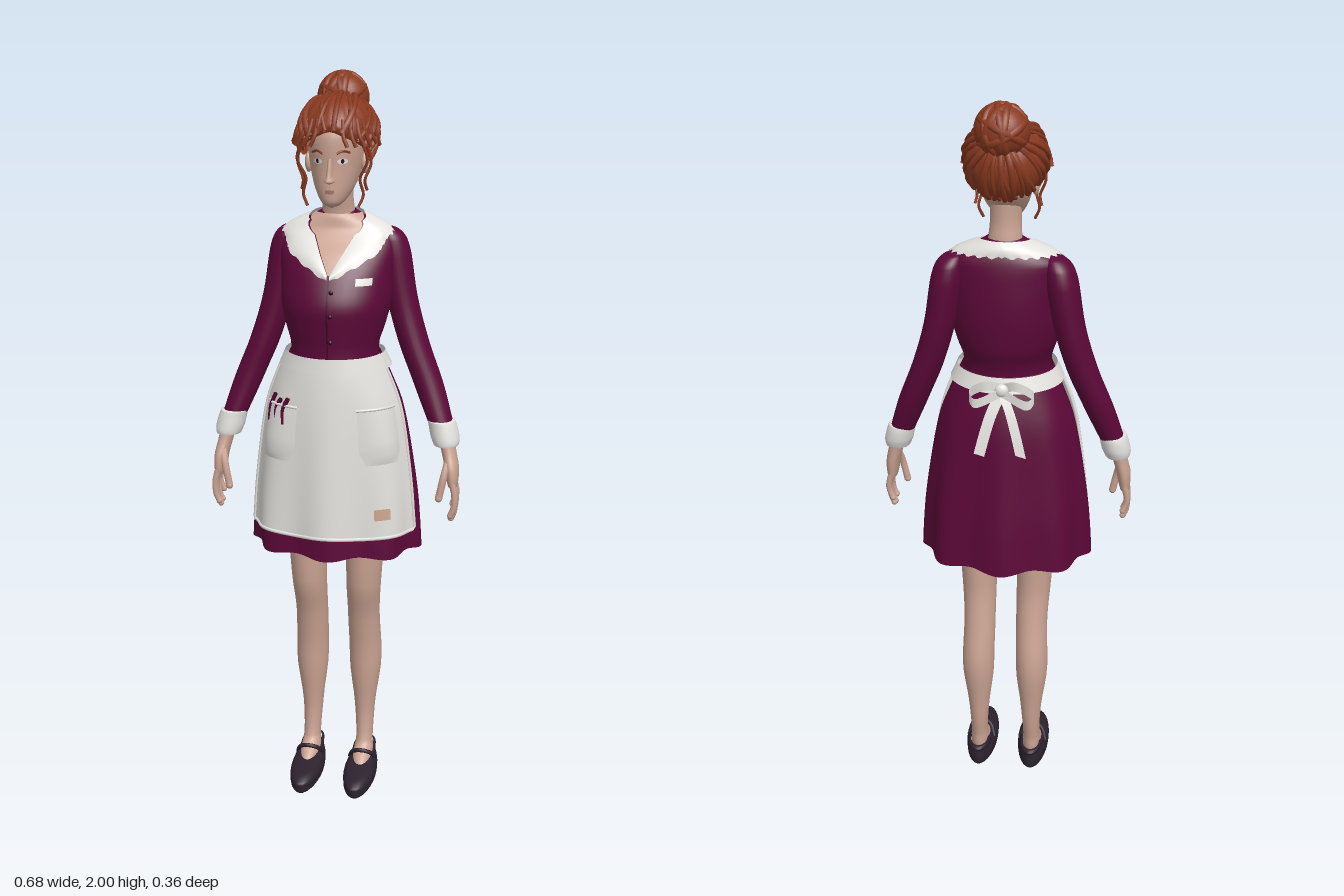
import * as THREE from 'three';

const V = (x, y, z) => new THREE.Vector3(x, y, z);
const mat = (name, color, side = THREE.FrontSide) => {
  const m = new THREE.MeshStandardMaterial({ color, side });
  m.name = name;
  return m;
};

// Smooth surface from a point rule; u runs around, v runs up
function grid(nu, nv, fn, closed = false) {
  const pos = [], idx = [], cols = closed ? nu : nu + 1;
  for (let j = 0; j <= nv; j++)
    for (let i = 0; i < cols; i++) pos.push(...fn(i / nu, j / nv).toArray());
  for (let j = 0; j < nv; j++)
    for (let i = 0; i < nu; i++) {
      const a = j * cols + i, b = j * cols + (i + 1) % cols;
      idx.push(a, b, b + cols, a, b + cols, a + cols);
    }
  const g = new THREE.BufferGeometry();
  g.setAttribute('position', new THREE.Float32BufferAttribute(pos, 3));
  g.setIndex(idx);
  g.computeVertexNormals();
  return g;
}

// Cross-sections [y, centreX, centreZ, halfWidth, frontDepth, backDepth], blended without overshoot
function profile(rows, s = 1) {
  const slope = (i, c) => (rows[i + 1][c] - rows[i][c]) / (rows[i + 1][0] - rows[i][0]);
  const tangent = (i, c) => {
    if (i === 0) return slope(0, c);
    if (i === rows.length - 1) return slope(i - 1, c);
    const a = slope(i - 1, c), b = slope(i, c);
    return a * b <= 0 ? 0 : 2 * a * b / (a + b);
  };
  return (y, t, off = 0) => {
    let i = 0;
    while (i < rows.length - 2 && y > rows[i + 1][0]) i++;
    const h = rows[i + 1][0] - rows[i][0], k = (y - rows[i][0]) / h, k2 = k * k, k3 = k2 * k;
    const [cx, cz, rx, zf, zb] = [1, 2, 3, 4, 5].map(c =>
      (2 * k3 - 3 * k2 + 1) * rows[i][c] + (k3 - 2 * k2 + k) * h * tangent(i, c) +
      (3 * k2 - 2 * k3) * rows[i + 1][c] + (k3 - k2) * h * tangent(i + 1, c));
    const c = Math.cos(t);
    return V(cx * s + (rx + off) * Math.sin(t), y + off * 0.3, cz + ((c > 0 ? zf : zb) + off) * c);
  };
}
function loft(rows, s = 1, nu = 28, steps = 4) {
  const p = profile(rows, s), n = rows.length - 1;
  return grid(nu, n * steps, (u, v) => {
    const i = Math.min(n - 1, Math.floor(v * n + 1e-9)), k = v * n - i;
    return p(rows[i][0] + (rows[i + 1][0] - rows[i][0]) * k, u * Math.PI * 2);
  }, true);
}
const tube = (pts, r, n = 14, sides = 6) => new THREE.TubeGeometry(new THREE.CatmullRomCurve3(pts), n, r, sides);
// Flat cloth strip along a path
function ribbon(pts, wide) {
  const c = new THREE.CatmullRomCurve3(pts);
  return grid(20, 1, (u, v) => c.getPoint(u).addScaledVector(wide, v * 2 - 1));
}
// Patch lying on a surface rule
const patch = (surf, t0, t1, y0, y1, off) =>
  grid(12, 8, (u, v) => surf(y0 + (y1 - y0) * v, t0 + (t1 - t0) * u, off));
const lerpList = (list, u) => {
  const f = u * (list.length - 1), i = Math.min(list.length - 2, Math.floor(f)), k = f - i;
  return list[i].map((a, c) => a + (list[i + 1][c] - a) * k);
};

export function createModel() {
  const root = new THREE.Group();
  root.name = 'woman';
  const skin = mat('skin', 0xcba493), dress = mat('dress', 0x5c0838, THREE.DoubleSide);
  const white = mat('white cloth', 0xe4e2de, THREE.DoubleSide), hair = mat('hair', 0x8a3a20, THREE.DoubleSide);
  const shoe = mat('shoe', 0x2c222e), dark = mat('dark trim', 0x33081f, THREE.DoubleSide);
  const tan = mat('patch', 0xcda58c, THREE.DoubleSide), lip = mat('lips', 0xa8706a, THREE.DoubleSide);
  const add = (name, geo, m, parent = root) => {
    const o = new THREE.Mesh(geo, m);
    o.name = name;
    parent.add(o);
    return o;
  };
  const ball = (name, m, x, y, z, a, b, c) => {
    const o = add(name, new THREE.SphereGeometry(1, 24, 16), m);
    o.position.set(x, y, z);
    o.scale.set(a, b, c);
    return o;
  };

  // Bodice
  const torsoRows = [[1.25, 0, .02, .118, .11, .1], [1.3, 0, .02, .117, .108, .105], [1.36, 0, .01, .133, .124, .115],
    [1.42, 0, 0, .146, .138, .113], [1.48, 0, -.01, .148, .125, .105], [1.54, 0, -.02, .152, .095, .092],
    [1.585, 0, -.035, .152, .065, .072], [1.61, 0, -.04, .122, .055, .06], [1.635, 0, -.04, .07, .05, .05], [1.65, 0, -.04, .045, .04, .04]];
  const torso = profile(torsoRows);
  add('bodice', loft(torsoRows, 1, 40), dress);
  add('frontSeam', patch(torso, -.015, .015, 1.28, 1.5, .003), dark);
  for (const y of [1.33, 1.4, 1.46]) {
    const p = torso(y, .06, .003);
    ball('button', dark, p.x, p.y, p.z, .006, .006, .004);
  }
  add('nameBadge', patch(torso, .46, .78, 1.474, 1.492, .007), white);

  // Neckline and collar, from the nape round to the point of the V
  const inner = [[Math.PI, 1.648], [2.4, 1.647], [1.57, 1.643], [.75, 1.625], [.33, 1.59], [.02, 1.5]];
  const outer = [[Math.PI, 1.612], [2.4, 1.61], [1.57, 1.607], [1.0, 1.585], [.82, 1.55], [.02, 1.485]];
  add('neckline', grid(10, 30, (u, v) => {
    const [t, y] = lerpList(inner.slice(2).reverse(), v);
    return torso(y, t * (u * 2 - 1), .004);
  }), skin);
  for (const s of [1, -1])
    add('collar', grid(60, 5, (u, v) => {
      const a = lerpList(inner, u), b = lerpList(outer, u);
      const frill = v === 1 ? .003 * Math.sin(u * 90) : 0;
      return torso(a[1] + (b[1] - a[1]) * v + frill, s * (a[0] + (b[0] - a[0]) * v), .01 + .004 * Math.sin(v * Math.PI));
    }), white);

  // Skirt with soft folds
  const skirtBase = profile([[.73, 0, -.005, .23, .162, .165], [.86, 0, -.005, .222, .16, .155], [1, 0, -.003, .205, .154, .142],
    [1.14, 0, 0, .18, .145, .13], [1.22, 0, .006, .15, .133, .118], [1.29, 0, .016, .119, .114, .105]]);
  const skirt = (y, t, off = 0) =>
    skirtBase(y, t, off + .009 * Math.cos(8 * t) * THREE.MathUtils.clamp((1.22 - y) / .45, 0, 1));
  add('skirt', grid(96, 20, (u, v) => {
    const t = u * Math.PI * 2;
    return skirt(.735 - .007 * Math.cos(8 * t) * (1 - v) + .55 * v, t);
  }, true), dress);

  // Apron, hem, band, pockets
  const A = 1.3;
  add('apron', grid(48, 20, (u, v) => skirt(.795 + .49 * v, A * (u * 2 - 1), .009)), white);
  const edge = [];
  for (let i = 0; i <= 10; i++) edge.push(skirt(1.27 - .0475 * i, -A, .009));
  for (let i = 1; i <= 48; i++) edge.push(skirt(.795, -A + 2 * A * i / 48, .009));
  for (let i = 1; i <= 10; i++) edge.push(skirt(.795 + .0475 * i, A, .009));
  add('apronHem', tube(edge, .005, 140), white);
  add('waistband', grid(64, 3, (u, v) => skirt(1.245 + .04 * v, u * Math.PI * 2, .012), true), white);
  for (const s of [1, -1]) {
    add('pocket', grid(14, 12, (u, v) => {
      const w = .33 * (v < .25 ? .75 + v : 1);
      return skirt(1.0 + .15 * v, s * .76 + w * (u * 2 - 1), .012 + .01 * Math.sin(u * Math.PI) * Math.sqrt(Math.min(1, v * 3)));
    }), white);
    const rim = Array.from({ length: 9 }, (_, i) => skirt(1.15, s * .76 + .33 * (i / 4 - 1), .012 + .01 * Math.sin(i * Math.PI / 8)));
    add('pocketRim', tube(rim, .004, 24), white);
  }
  add('notepad', patch(skirt, .55, .95, 1.12, 1.172, .015), white);
  for (const [t, y] of [[-.62, 1.17], [-.75, 1.165], [-.9, 1.175]])
    add('pen', tube([skirt(1.1, t, .016), skirt(1.14, t - .02, .018), skirt(y, t + .04, .02)], .006), dress);
  add('mendedPatch', patch(skirt, .58, .78, .845, .876, .012), tan);

  // Bow at the back
  for (const s of [1, -1]) {
    add('bowLoop', ribbon([V(0, 1.262, -.108), V(s * .04, 1.277, -.13), V(s * .085, 1.245, -.118), V(s * .07, 1.228, -.135), V(0, 1.256, -.122)], V(0, .013, 0)), white);
    add('bowTail', ribbon([V(0, 1.258, -.115), V(s * .025, 1.2, -.136), V(s * .04, 1.15, -.148), V(s * .055, 1.09, -.158)], V(.014, .004, 0)), white);
  }
  ball('bowKnot', white, 0, 1.26, -.117, .018, .018, .013);

  for (const s of [1, -1]) {
    // Arm
    add('sleeve', loft([[1.08, .288, -.004, .033, .038, .038], [1.2, .243, -.03, .04, .045, .044], [1.3, .203, -.044, .041, .05, .048],
      [1.42, .168, -.052, .041, .05, .054], [1.53, .148, -.053, .043, .05, .056], [1.575, .14, -.052, .038, .046, .05],
      [1.6, .13, -.05, .026, .032, .034], [1.611, .12, -.05, .002, .002, .002]], s), dress);
    add('cuff', loft([[1.032, .301, .004, .022, .028, .028], [1.034, .301, .004, .034, .042, .042], [1.06, .296, 0, .039, .045, .047],
      [1.098, .286, -.004, .037, .043, .044], [1.1, .285, -.004, .03, .035, .035]], s), white);
    add('hand', loft([[.915, .325, .022, .003, .006, .006], [.925, .324, .022, .013, .034, .032], [.97, .32, .018, .019, .038, .036],
      [1.01, .311, .01, .02, .03, .03], [1.045, .302, .004, .021, .026, .026]], s), skin);
    for (let i = 0; i < 4; i++) {
      const z = -.004 + i * .0175, low = [.862, .838, .832, .845][i];
      add('finger', tube([V(s * .323, .94, z), V(s * .332, .9, z + .002), V(s * .33, low + .02, z + .003), V(s * .322, low, z + .002)], .0085, 10, 8), skin);
      ball('fingertip', skin, s * .322, low, z + .002, .0085, .009, .0085);
    }
    add('thumb', tube([V(s * .312, 1.0, .03), V(s * .302, .955, .052), V(s * .29, .895, .057)], .01, 10, 8), skin);
    ball('thumbTip', skin, s * .29, .895, .057, .01, .011, .01);

    // Leg and shoe
    add('leg', loft([[.03, .078, .0, .028, .09, .06], [.06, .078, -.01, .028, .065, .055], [.1, .078, -.033, .024, .033, .033],
      [.2, .077, -.045, .029, .036, .037], [.36, .078, -.045, .046, .052, .056], [.5, .075, -.026, .045, .052, .052],
      [.62, .078, -.002, .049, .06, .06], [.82, .085, .003, .056, .068, .074]], s), skin);
    add('shoe', loft([[0, .078, .037, .002, .01, .01], [.001, .078, .037, .038, .118, .118], [.012, .078, .037, .045, .126, .126],
      [.03, .078, .037, .046, .126, .127], [.046, .078, .02, .041, .118, .108], [.056, .078, -.005, .035, .06, .083],
      [.072, .078, -.045, .03, .02, .045], [.073, .078, -.045, .024, .015, .038]], s), shoe);
    add('shoeStrap', tube([V(s * .04, .045, .0), V(s * .052, .074, .02), V(s * .078, .085, .03), V(s * .104, .074, .02), V(s * .116, .045, 0)], .006), shoe);
  }

  // Neck and head
  add('neck', loft([[1.58, 0, -.035, .055, .05, .045], [1.64, 0, -.033, .044, .042, .04], [1.69, 0, -.022, .04, .04, .045], [1.76, 0, -.015, .042, .05, .055]]), skin);
  const headRows = [[1.668, 0, .062, .002, .004, .004], [1.675, 0, .058, .02, .026, .03], [1.695, 0, .035, .039, .059, .05], [1.73, 0, .01, .056, .085, .07],
    [1.78, 0, -.01, .069, .105, .09], [1.84, 0, -.01, .074, .108, .1], [1.9, 0, -.01, .055, .08, .08], [1.93, 0, -.01, .002, .002, .002]];
  const head = profile(headRows);
  add('head', loft(headRows, 1, 40), skin);
  add('nose', loft([[1.732, 0, .09, .004, .014, .01], [1.738, 0, .092, .014, .027, .01], [1.75, 0, .092, .009, .022, .01], [1.795, 0, .09, .005, .008, .01]], 1, 16), skin);
  add('mouth', patch(head, -.22, .22, 1.706, 1.715, .003), lip);
  for (const s of [1, -1]) {
    const disc = (name, t, y, w, h, off, m) => add(name, grid(20, 3, (u, v) =>
      head(y + h * (1 - v) * Math.sin(u * 2 * Math.PI), s * t + w * (1 - v) * Math.cos(u * 2 * Math.PI), off), true), m);
    disc('eye', .46, 1.787, .19, .007, .002, white);
    disc('iris', .45, 1.787, .06, .006, .004, dark);
    add('eyebrow', tube([head(1.806, s * .24, .002), head(1.813, s * .45, .002), head(1.808, s * .7, .002)], .003), hair);
    ball('ear', skin, s * .073, 1.775, -.004, .01, .027, .017);
  }

  // Swept-up hair
  const mid = V(0, 1.842, -.02), radii = V(.102, .104, .125);
  const rimAngle = t => 1.4 + 1.2 * Math.pow((1 - Math.cos(t)) / 2, .7);
  const dir = (t, phi) => V(Math.sin(phi) * Math.sin(t), Math.cos(phi), Math.sin(phi) * Math.cos(t));
  const onHair = (d, k = 1) => d.clone().multiply(radii).multiplyScalar(k).add(mid);
  add('hair', grid(72, 20, (u, v) => {
    const t = u * Math.PI * 2, k = 1 + .015 * Math.sin(t * 18 + v * 5) * Math.sin(v * Math.PI) - (v < .1 ? .08 * (.1 - v) * 10 : 0);
    return onHair(dir(t, rimAngle(t) * (1 - v)), k);
  }, true), hair);
  const bunDir = V(0, .7, -.71);
  const locks = new THREE.Group();
  locks.name = 'hairLocks';
  root.add(locks);
  for (let i = 0; i < 30; i++) {
    const t = (i + .5) / 30 * Math.PI * 2, d0 = dir(t, rimAngle(t) * .96);
    const pts = [0, .2, .4, .6, .8, 1].map(k => {
      const d = d0.clone().lerp(bunDir, k);
      d.x += .12 * Math.sin(k * Math.PI) * Math.sin(i * 2.3);
      return onHair(d.normalize(), .99 + .03 * Math.sin(k * Math.PI));
    });
    add('sweptLock', tube(pts, .007 + .002 * Math.sin(i * 1.7), 18), hair, locks);
  }
  // Loose wisps round the face
  for (const s of [1, -1]) {
    add('longWisp', tube([V(s * .07, 1.85, .07), V(s * .09, 1.79, .06), V(s * .07, 1.74, .05), V(s * .078, 1.7, .045), V(s * .066, 1.67, .05)], .004, 24), hair, locks);
    add('longWisp', tube([V(s * .08, 1.84, .04), V(s * .095, 1.78, .03), V(s * .08, 1.735, .035), V(s * .085, 1.71, .03)], .004, 20), hair, locks);
    for (let i = 0; i < 6; i++) {
      const t = s * (.35 + i * .2), a = onHair(dir(t, 1.1), 1), b = onHair(dir(t, 1.5), 1.05), c = onHair(dir(t + s * .08, 1.72 + .06 * Math.sin(i * 3)), 1.13);
      add('shortWisp', tube([a, b, c], .005, 12), hair, locks);
    }
  }

  // Bun with coiled strands
  ball('bun', hair, 0, 1.93, -.097, .068, .064, .063);
  for (let i = 0; i < 7; i++) {
    const coil = add('bunCoil', new THREE.TorusGeometry(.058, .011, 8, 32), hair);
    coil.position.set(0, 1.93, -.097);
    coil.rotation.set(i * .45, i * .9, 0);
  }
  return root;
}
